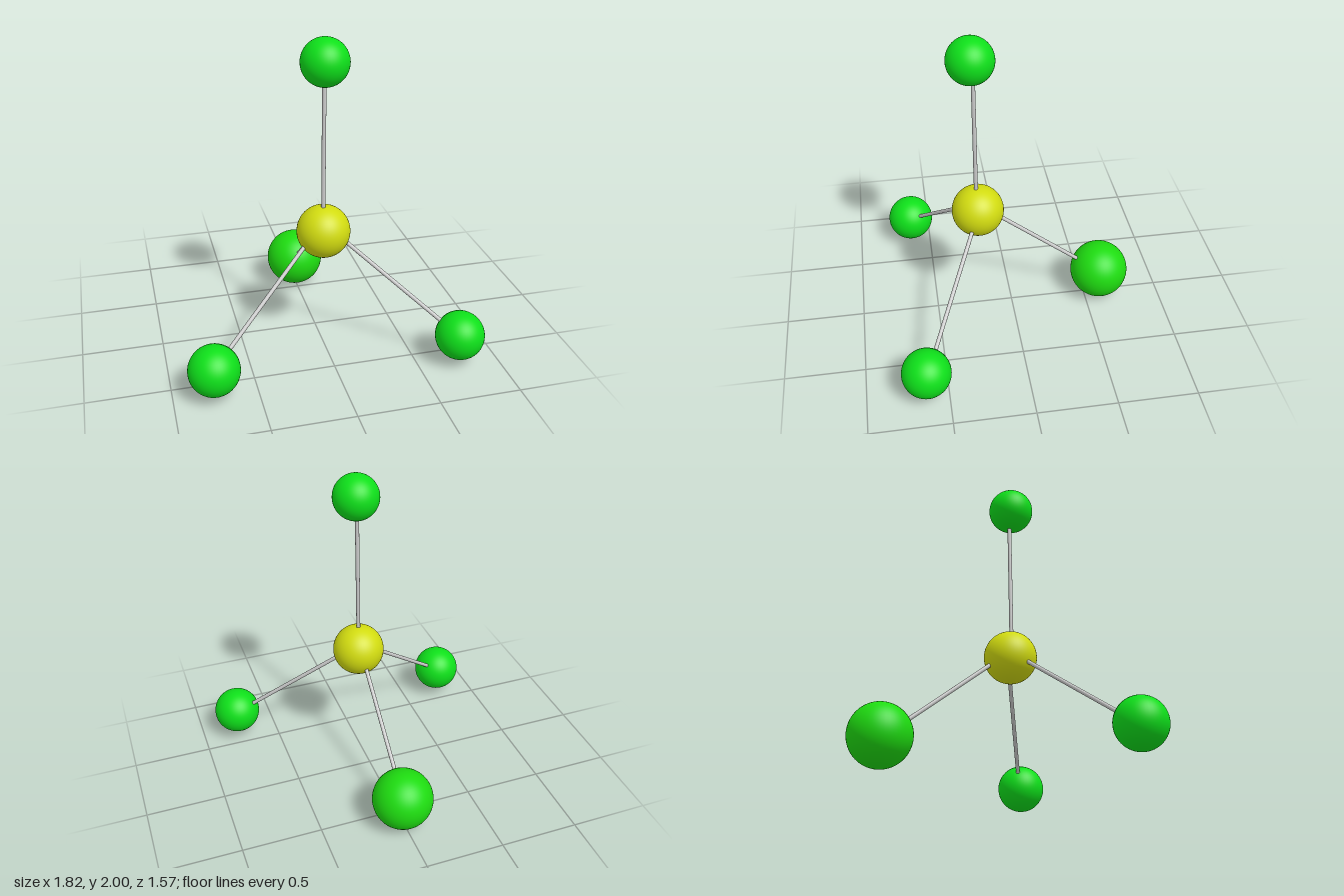
import * as THREE from 'three';

const paint = (color) => new THREE.MeshStandardMaterial({ color });

function addBall(group, name, position, radius, material) {
  const ball = new THREE.Mesh(new THREE.SphereGeometry(radius, 48, 32), material);
  ball.name = name;
  ball.position.set(...position);
  group.add(ball);
}

// Thin round rod between two points
function addRod(group, name, from, to, material) {
  const a = new THREE.Vector3(...from);
  const b = new THREE.Vector3(...to);
  const dir = b.clone().sub(a);
  const rod = new THREE.Mesh(new THREE.CylinderGeometry(0.0125, 0.0125, dir.length(), 20), material);
  rod.name = name;
  rod.position.copy(a).add(b).multiplyScalar(0.5);
  rod.quaternion.setFromUnitVectors(new THREE.Vector3(0, 1, 0), dir.normalize());
  group.add(rod);
}

export function createModel() {
  const group = new THREE.Group();
  group.name = 'tetrahedralMolecule';

  const grey = paint(0xcccccc);
  const green = paint(0x0ee01a);
  const leafGreen = paint(0x1edc10);

  // Central atom
  addBall(group, 'centralAtom', [0, 0.795, 0.214], 0.164, paint(0xd2dc10));

  // Outer atoms, each with a bond; the lower bonds aim slightly above the centre
  const outer = [
    { name: 'top', at: [0, 1.857, 0.235], r: 0.143, mat: green, from: [-0.004, 0.8, 0.222], to: [0, 1.857, 0.222] },
    { name: 'right', at: [-0.755, 0.192, 0.628], r: 0.154, mat: green, from: [-0.06, 0.792, 0.227], to: [-0.75, 0.19, 0.617] },
    { name: 'left', at: [0.757, 0.192, 0.63], r: 0.151, mat: green, from: [0.06, 0.79, 0.227], to: [0.75, 0.187, 0.617] },
    { name: 'back', at: [0, 0.195, -0.598], r: 0.19, mat: leafGreen, from: [-0.004, 0.782, 0.147], to: [-0.004, 0.195, -0.575] },
  ];
  for (const { name, at, r, mat, from, to } of outer) {
    addBall(group, name + 'Atom', at, r, mat);
    addRod(group, name + 'Bond', from, to, grey);
  }
  return group;
}
